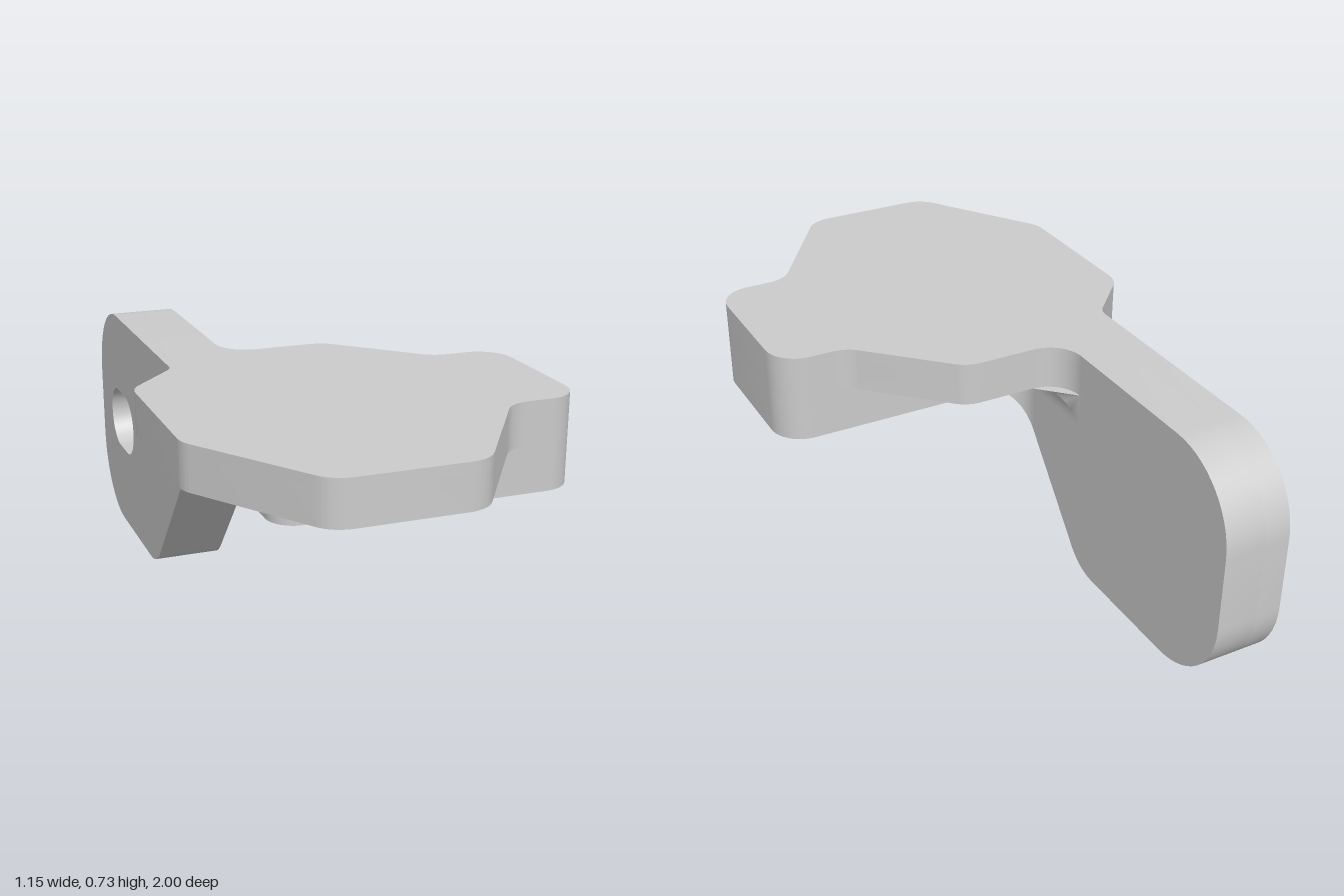
import * as THREE from 'three';
import { toCreasedNormals } from 'three/addons/utils/BufferGeometryUtils.js';

const material = new THREE.MeshStandardMaterial({ color: 0xcccccc });

// Closed outline from [u, v, cornerRadius] points, each corner a near-circular arc
function rounded(points, Type = THREE.Shape) {
  const path = new Type();
  const n = points.length;
  points.forEach(([u, v, r = 0], i) => {
    const p = new THREE.Vector2(u, v);
    const a = new THREE.Vector2(...points[(i + n - 1) % n].slice(0, 2)).sub(p).normalize();
    const b = new THREE.Vector2(...points[(i + 1) % n].slice(0, 2)).sub(p).normalize();
    const turn = Math.PI - Math.acos(THREE.MathUtils.clamp(a.dot(b), -1, 1));
    const t = r * Math.tan(turn / 2);
    const k = t - r * (4 / 3) * Math.tan(turn / 4);
    const at = (d, s) => p.clone().addScaledVector(d, s);
    const s = at(a, t), e = at(b, t), c1 = at(a, k), c2 = at(b, k);
    if (i === 0) path.moveTo(s.x, s.y); else path.lineTo(s.x, s.y);
    if (r > 0) path.bezierCurveTo(c1.x, c1.y, c2.x, c2.y, e.x, e.y);
  });
  path.closePath();
  return path;
}

const flipZ = (pts) => pts.map(([x, z, r]) => [x, -z, r]);   // (x, z) to shape plane
const flipU = (pts) => pts.map(([z, y, r]) => [-z, y, r]);   // (z, y) to shape plane

function extrude(shape, depth) {
  return new THREE.ExtrudeGeometry(shape, { depth, bevelEnabled: false, curveSegments: 14 });
}

// Moves every vertex by a rule
function reshape(geo, rule) {
  const pos = geo.attributes.position;
  const v = new THREE.Vector3();
  for (let i = 0; i < pos.count; i++) {
    rule(v.fromBufferAttribute(pos, i));
    pos.setXYZ(i, v.x, v.y, v.z);
  }
  return geo;
}

export function createModel() {
  const model = new THREE.Group();
  const add = (name, geo) => {
    const mesh = new THREE.Mesh(toCreasedNormals(geo, 0.5), material);
    mesh.name = name;
    model.add(mesh);
  };
  // Horizontal layer between two heights, with optional holes
  const layer = (name, pts, y0, y1, holes = []) => {
    const shape = rounded(flipZ(pts));
    shape.holes.push(...holes);
    add(name, extrude(shape, y1 - y0).rotateX(-Math.PI / 2).translate(0, y0, 0));
  };
  // Vertical layer between two x positions
  const slab = (name, pts, x0, x1, holes = []) => {
    const shape = rounded(flipU(pts));
    shape.holes.push(...holes);
    add(name, extrude(shape, x1 - x0).rotateY(Math.PI / 2).translate(x0, 0, 0));
  };
  const circle = (x, z, r) => new THREE.Path().absarc(x, -z, r, 0, Math.PI * 2, true);

  const armLeft = -0.215, armRight = -0.42, top = 0.73, under = 0.6, low = 0.46, r = 0.1;

  // Top plate: thin closed skin over a pocketed body
  const plate = [
    [armRight, -0.4], [armRight, -0.05, 0.06], [-0.578, 0.115, 0.1], [-0.578, 0.61, 0.1],
    [-0.32, 1, 0.1], [0.09, 1, 0.1], [0.35, 0.61, 0.1], [0.575, 0.61, 0.1],
    [0.575, 0.09, 0.1], [0.365, 0.09, 0.1], [0.1, -0.17, 0.1], [armLeft, -0.17, r], [armLeft, -0.4],
  ];
  const pocket = () => rounded(flipZ([[-0.22, 0.2], [0.37, 0.2], [0.37, 0.51], [-0.22, 0.51]]), THREE.Path);
  layer('plateSkin', plate, 0.72, top);
  layer('plateRecessLayer', plate, 0.7, 0.72, [circle(0.26, 0.335, 0.13)]);
  layer('plateBody', plate, under, 0.7, [pocket()]);

  // Block under the plate with a rectangular pocket and two screw holes
  const block = [[-0.33, 0.09], [0.575, 0.09, 0.1], [0.575, 0.61, 0.1], [-0.33, 0.61, 0.08]];
  layer('block', block, low, under, [pocket(), circle(0.42, 0.355, 0.022), circle(-0.275, 0.355, 0.022)]);

  // Hanging arm with a blind slot on its outer side
  const arm = [[0.09, top], [0.09, low], [-0.311, 0, 0.16], [-1, 0, 0.25], [-1, top, 0.25]];
  const slot = rounded(flipU([[-0.86, 0.27, 0.0999], [-0.86, 0.47, 0.0999],
    [-0.56, 0.47, 0.0999], [-0.56, 0.27, 0.0999]]), THREE.Path);
  slab('armOuterLayer', arm, armRight, -0.34, [slot]);
  slab('armInnerLayer', arm, -0.34, armLeft);

  // Concave corner section: legs along +u and +v from the origin
  const corner = new THREE.Shape();
  corner.moveTo(0, 0);
  corner.lineTo(r, 0);
  corner.absarc(r, r, r, -Math.PI / 2, -Math.PI, true);
  corner.closePath();

  // Upright fillet between arm and block, cut off along the sloping arm edge
  const slope = low / (0.09 + 0.311);
  const upright = extrude(corner, under - low).rotateX(-Math.PI / 2).translate(armLeft, low, 0.09);
  add('blockFillet', reshape(upright, (v) => {
    if (v.y < low + 0.01) v.y = low - slope * (0.09 - v.z);
  }));

  // Fillet under the plate along the arm, ending on the plate's rounded inner corner
  const ledge = extrude(corner, 0.26).scale(1, -1, -1).translate(armLeft, under, 0.09);
  add('plateFillet', reshape(ledge, (v) => {
    if (v.z < 0) {
      const d = Math.min(0, v.x - armLeft - r);
      v.z = -0.17 - r + Math.sqrt(Math.max(0, r * r - d * d));
    }
  }));

  return model;
}
